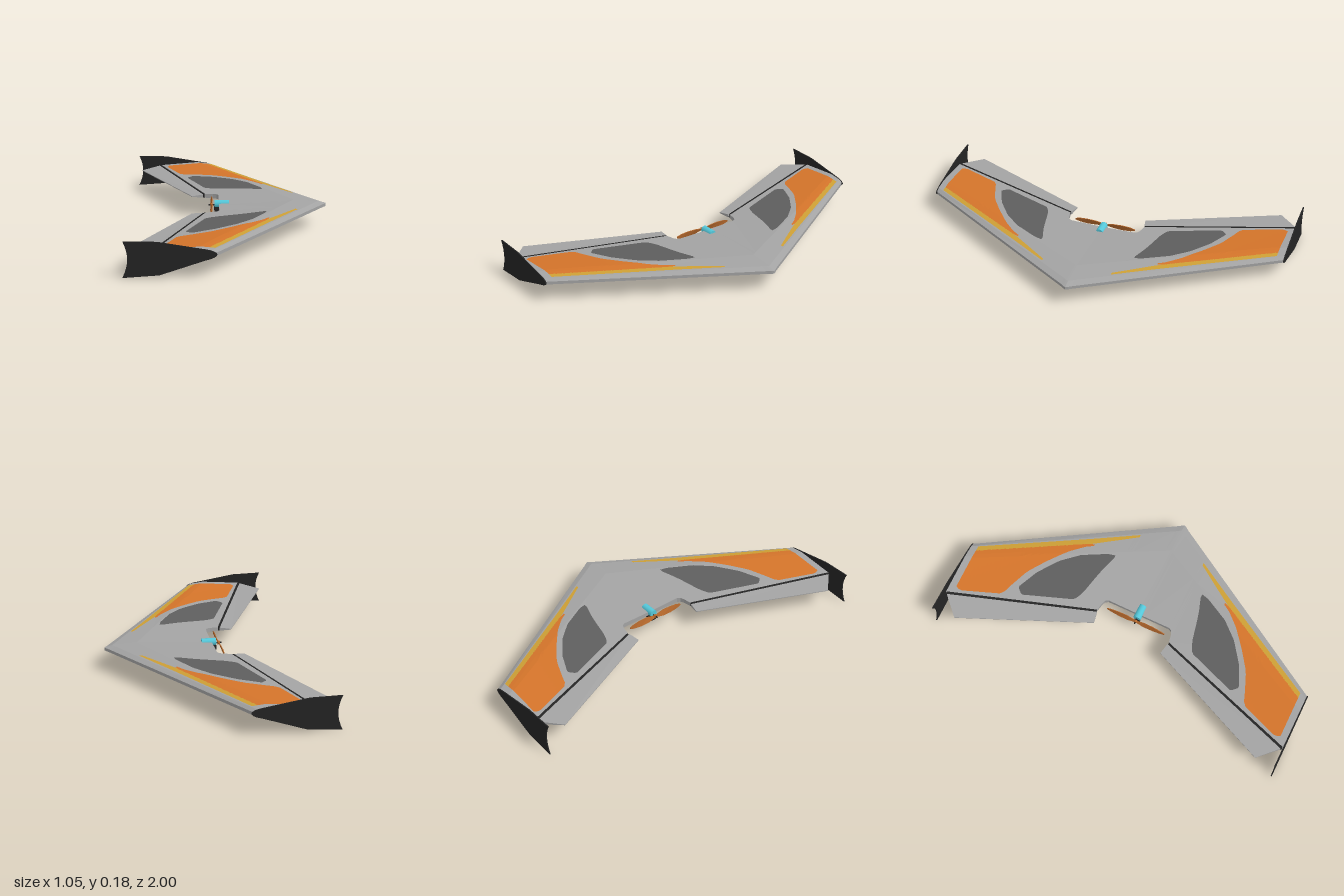
import * as THREE from 'three';

const mat = (name, color) => {
  const m = new THREE.MeshStandardMaterial({ color });
  m.name = name;
  return m;
};

// Piecewise-linear lookup in a list of [key, value] pairs
function lerpList(list, t) {
  if (t <= list[0][0]) return list[0][1];
  for (let i = 1; i < list.length; i++) {
    const [a, va] = list[i - 1], [b, vb] = list[i];
    if (t <= b) return va + (vb - va) * (t - a) / (b - a);
  }
  return list[list.length - 1][1];
}

// Wing planform and aerofoil
const leadingEdge = [[0, 0.522], [0.012, 0.516], [0.03, 0.503], [0.994, -0.08]];
const notchEdge = [[0, -0.055], [0.18, -0.055], [0.197, -0.065], [0.205, -0.085], [0.213, -0.13], [0.994, -0.392]];
const topCurve = [[0, 0.12], [0.07, 0.132], [0.3, 0.14], [1, 0.122]];
const bottomCurve = [[0, 0.104], [0.05, 0.097], [0.23, 0.084], [1, 0.102]];
const le = (z) => lerpList(leadingEdge, Math.abs(z));
const te = (z) => lerpList(notchEdge, Math.abs(z));
const chord = (z) => le(z) + 0.058 + 0.336 * Math.abs(z);
const surfaceY = (curve, x, z) => lerpList(curve, (le(z) - x) / chord(z));

function geometryFrom(points) {
  const g = new THREE.BufferGeometry();
  g.setAttribute('position', new THREE.Float32BufferAttribute(points.flat(), 3));
  g.computeVertexNormals();
  return g;
}

// Solid through closed rings that advance along +z
function loft(rings) {
  const out = [], n = rings[0].length, last = rings[rings.length - 1];
  for (let r = 0; r < rings.length - 1; r++) {
    for (let i = 0; i < n; i++) {
      const j = (i + 1) % n;
      const a = rings[r][i], b = rings[r][j], c = rings[r + 1][j], d = rings[r + 1][i];
      out.push(a, d, c, a, c, b);
    }
  }
  for (let i = 1; i < n - 1; i++) {
    out.push(rings[0][0], rings[0][i], rings[0][i + 1]);
    out.push(last[0], last[i + 1], last[i]);
  }
  return geometryFrom(out);
}

const mirrorRings = (rings) => rings.map((ring) => ring.map(([x, y, z]) => [x, y, -z])).reverse();

// Ring for a tapered slab: front and rear x with their half thicknesses
const slabRing = (z, xRear, hRear, xFront, hFront, y = 0.112, zRear = z) => [
  [xRear, y + hRear, zRear], [xFront, y + hFront, z], [xFront, y - hFront, z], [xRear, y - hRear, zRear],
];

// Painted patch that follows the wing skin between two x boundaries
function paintPatch(rear, front, side, top) {
  const z0 = rear[0][0], z1 = rear[rear.length - 1][0], rows = 32, cols = 10, out = [];
  const at = (r, c) => {
    const z = z0 + (z1 - z0) * r / rows;
    const xr = lerpList(rear, z), xf = lerpList(front, z);
    const x = xr + (xf - xr) * c / cols;
    const y = top ? surfaceY(topCurve, x, z) + 0.0015 : surfaceY(bottomCurve, x, z) - 0.0015;
    return [x, y, z * side];
  };
  const up = (side > 0) === top;
  for (let r = 0; r < rows; r++) {
    for (let c = 0; c < cols; c++) {
      const a = at(r, c), b = at(r, c + 1), d = at(r + 1, c), e = at(r + 1, c + 1);
      if (up) out.push(a, d, e, a, e, b);
      else out.push(a, e, d, a, b, e);
    }
  }
  return geometryFrom(out);
}

export function createModel() {
  const model = new THREE.Group();
  model.name = 'flyingWing';
  const grey = mat('foam grey', 0xa3a3a3);
  const dark = mat('dark grey', 0x5e5e5e);
  const orange = mat('orange', 0xd4742a);
  const yellow = mat('yellow', 0xcd9f35);
  const black = mat('black', 0x242424);
  const cyan = mat('motor cyan', 0x55c8da);
  const wood = mat('propeller brown', 0xb5682c);
  const add = (name, geometry, material) => {
    const mesh = new THREE.Mesh(geometry, material);
    mesh.name = name;
    model.add(mesh);
    return mesh;
  };

  // Wing: one loft from tip to tip
  const half = [0.012, 0.03, 0.18, 0.197, 0.205, 0.213, 0.6, 0.994];
  const stations = [...half.map((z) => -z).reverse(), 0, ...half];
  add('wing', loft(stations.map((z) => {
    const x = (f) => le(z) - f * chord(z);
    const p = (curve, px) => [px, surfaceY(curve, px, z), z];
    return [
      p(topCurve, te(z)), p(topCurve, x(0.3)), p(topCurve, x(0.07)), p(topCurve, x(0)),
      p(bottomCurve, x(0)), p(bottomCurve, x(0.05)), p(bottomCurve, x(0.23)), p(bottomCurve, te(z)),
    ];
  })), grey);

  // Hinges and elevons
  const hinge = [slabRing(0.215, -0.141, 0.009, -0.129, 0.0115), slabRing(0.99, -0.402, 0.009, -0.388, 0.0115)];
  const elevon = [
    slabRing(0.21, -0.2, 0.002, -0.139, 0.009, 0.112, 0.197),
    slabRing(0.985, -0.5, 0.002, -0.4, 0.009, 0.112, 0.885),
  ];

  // Paint boundaries as [z, x]
  const paints = [
    ['orangePanel', orange,
      [[0.39, 0.19], [0.43, 0.165], [0.5, 0.1], [0.58, 0], [0.65, -0.1], [0.69, -0.2], [0.715, -0.27], [0.93, -0.352], [0.957, -0.34]],
      [[0.39, 0.2], [0.42, 0.19], [0.957, -0.113]]],
    ['yellowStripe', yellow,
      [[0.19, 0.345], [0.4, 0.2], [0.957, -0.115]],
      [[0.19, 0.36], [0.4, 0.235], [0.957, -0.085]]],
    ['darkPanel', dark,
      [[0.26, 0.17], [0.29, 0.08], [0.325, -0.08], [0.35, -0.13], [0.62, -0.23], [0.65, -0.2]],
      [[0.26, 0.19], [0.3, 0.18], [0.43, 0.11], [0.52, 0.03], [0.6, -0.08], [0.65, -0.19]]],
  ];

  // Winglet outline
  const fin = new THREE.Shape();
  fin.moveTo(-0.525, 0);
  fin.lineTo(-0.35, 0.012);
  fin.lineTo(-0.13, 0.084);
  fin.quadraticCurveTo(-0.076, 0.097, -0.076, 0.112);
  fin.quadraticCurveTo(-0.078, 0.128, -0.13, 0.137);
  fin.lineTo(-0.36, 0.175);
  fin.lineTo(-0.522, 0.178);
  fin.quadraticCurveTo(-0.478, 0.09, -0.525, 0);
  const finGeometry = new THREE.ExtrudeGeometry(fin, { depth: 0.006, bevelEnabled: false, curveSegments: 8 });

  // Propeller blade: twisted slab sections from hub to tip
  const blade = [[0.008, 0.007, 0.9], [0.05, 0.016, 0.75], [0.1, 0.017, 0.5], [0.145, 0.012, 0.3], [0.17, 0.004, 0.25]]
    .map(([z, w, tilt]) => [[-w, 0.002], [w, 0.002], [w, -0.002], [-w, -0.002]].map(([u, v]) => {
      const a = Math.PI / 2 - tilt * 0.5;
      return [-0.095 + u * Math.cos(a) - v * Math.sin(a), 0.112 + u * Math.sin(a) + v * Math.cos(a), z];
    }));

  for (const side of [1, -1]) {
    const name = side > 0 ? 'left' : 'right';
    const sided = (rings) => loft(side > 0 ? rings : mirrorRings(rings));
    add(name + 'Hinge', sided(hinge), black);
    add(name + 'Elevon', sided(elevon), grey);
    for (const [part, material, rear, front] of paints) {
      add(`${name}${part}Top`, paintPatch(rear, front, side, true), material);
      add(`${name}${part}Bottom`, paintPatch(rear, front, side, false), material);
    }
    add(name + 'Winglet', finGeometry, black).position.z = side > 0 ? 0.994 : -1;
    add(name + 'PropellerBlade', sided(blade), wood);
  }

  // Motor, mount and shaft
  const rod = (r, length, sides) => new THREE.CylinderGeometry(r, r, length, sides).rotateZ(Math.PI / 2);
  add('motor', rod(0.021, 0.078, 12), cyan).position.set(-0.04, 0.118, 0);
  add('motorMount', new THREE.BoxGeometry(0.08, 0.026, 0.03), black).position.set(-0.04, 0.09, 0);
  add('propellerShaft', rod(0.004, 0.034, 8), black).position.set(-0.093, 0.112, 0);
  add('propellerHub', rod(0.01, 0.012, 10), wood).position.set(-0.095, 0.112, 0);

  return model;
}
